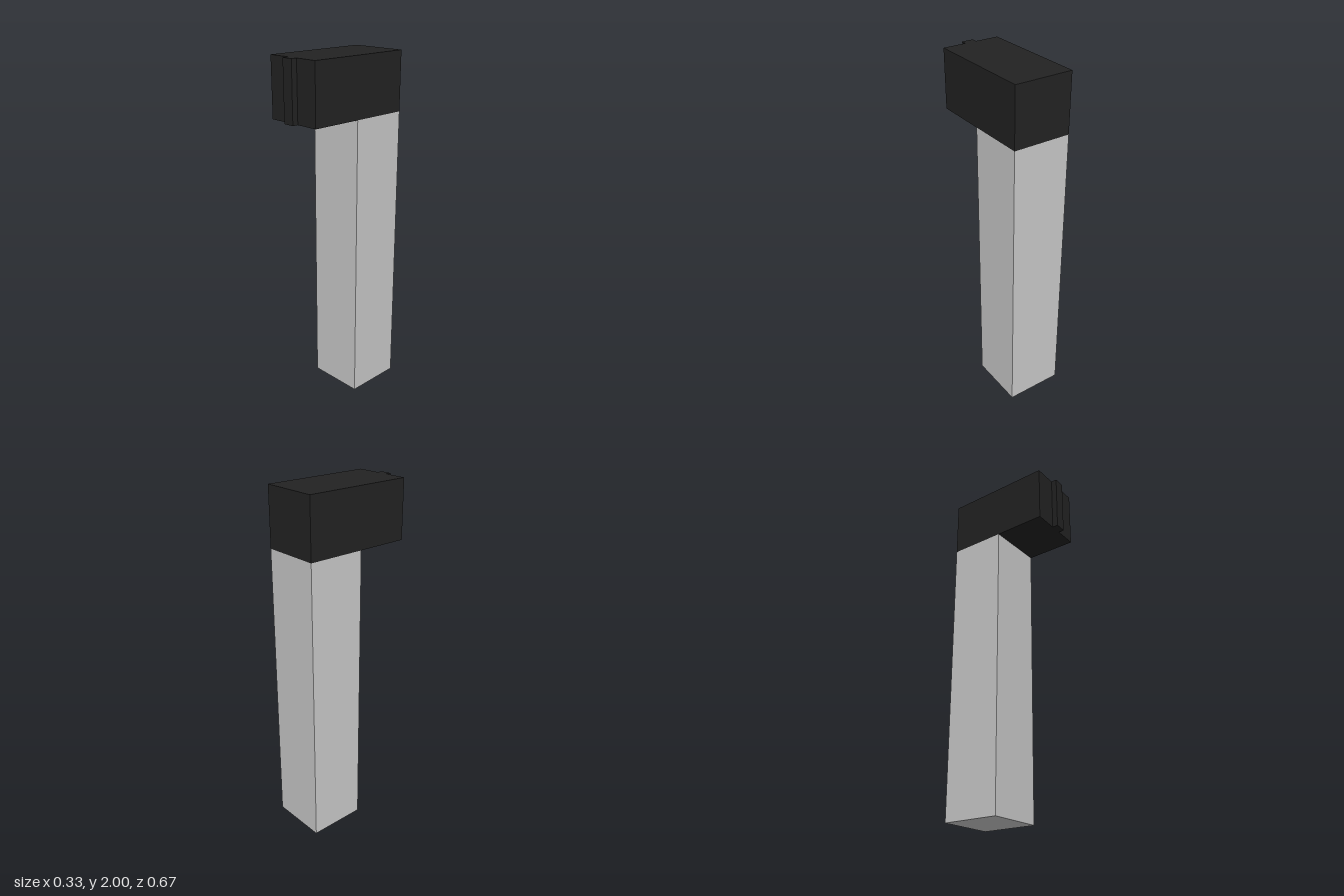
import * as THREE from 'three';

const grey = new THREE.MeshStandardMaterial({ color: 0xc8c8c8 });
grey.name = 'light grey';
const black = new THREE.MeshStandardMaterial({ color: 0x222222 });
black.name = 'black';

// Box given by its width and its extents in y and z, centred on x = 0
function block(name, material, width, y0, y1, z0, z1) {
  const mesh = new THREE.Mesh(new THREE.BoxGeometry(width, y1 - y0, z1 - z0), material);
  mesh.name = name;
  mesh.position.set(0, (y0 + y1) / 2, (z0 + z1) / 2);
  return mesh;
}

export function createModel() {
  const model = new THREE.Group();
  model.name = 'post with overhanging head';
  const back = -1 / 3, front = 1 / 3, width = 1 / 3, neck = 5 / 3;

  model.add(
    // Upright post under the rear half of the head
    block('post', grey, width, 0, neck, back, 0),
    // Overhanging head
    block('head', black, width, neck, 2, back, 0.3),
    // Narrow full-height rib on the head's front face
    block('frontRib', black, 0.066, neck, 2, 0.3, front)
  );
  return model;
}
